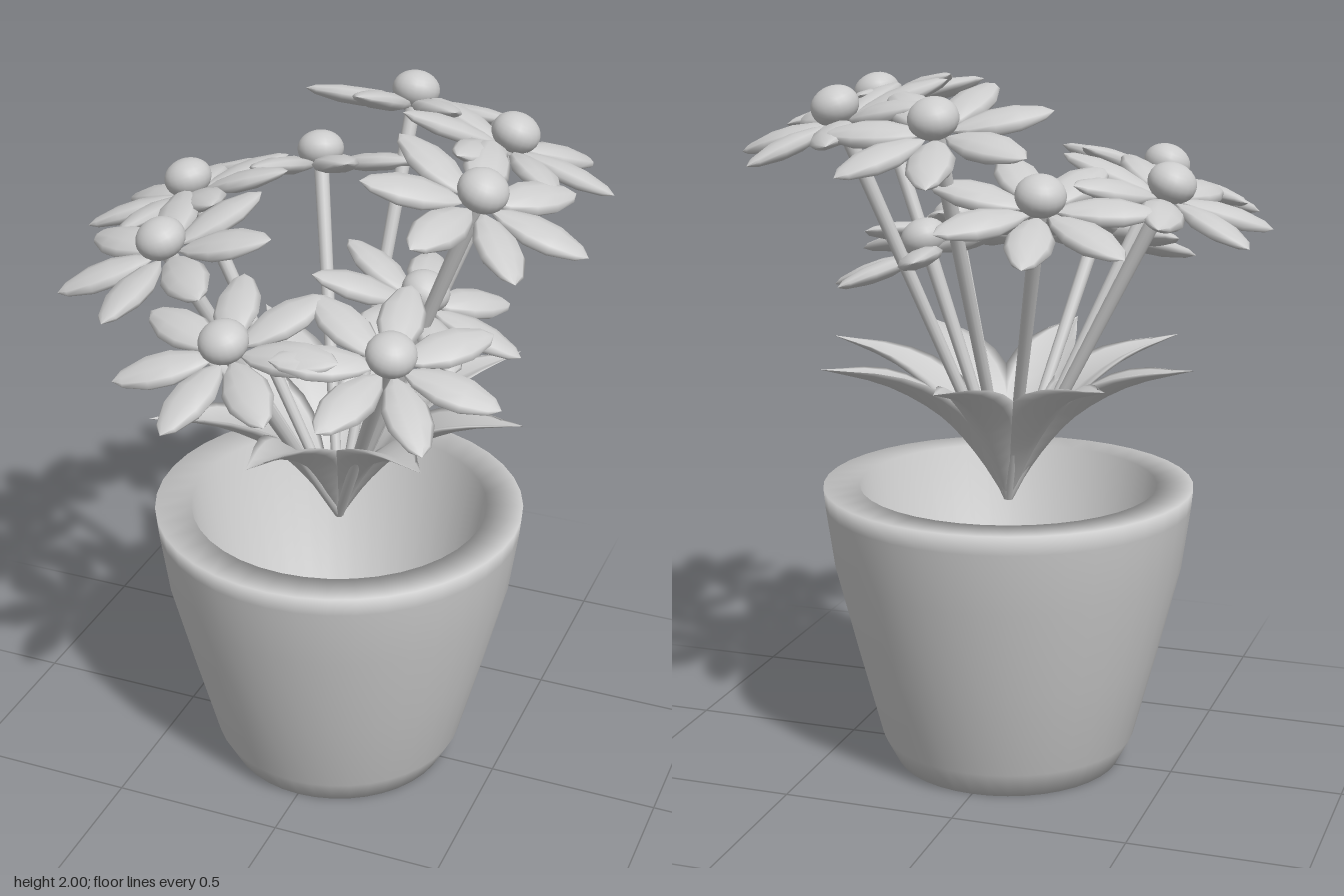
import * as THREE from 'three';

const grey = new THREE.MeshStandardMaterial({ color: 0xcccccc });
grey.name = 'pale grey';

const UP = new THREE.Vector3(0, 1, 0);
const rad = THREE.MathUtils.degToRad;
const v2 = (pts) => pts.map(([x, y]) => new THREE.Vector2(x, y));

function mesh(name, geometry) {
  const m = new THREE.Mesh(geometry, grey);
  m.name = name;
  return m;
}

// Hollow pot with a thick soft rim and a tapered foot
function makePot() {
  return mesh('pot', new THREE.LatheGeometry(v2([
    [0, 0], [0.33, 0], [0.372, 0.08], [0.44, 0.34], [0.505, 0.6],
    [0.53, 0.78], [0.535, 0.835], [0.43, 0.835], [0.3, 0.15], [0, 0.1],
  ]), 40));
}

// Petal: flattened spindle lying along +x
function petalGeometry() {
  const g = new THREE.LatheGeometry(v2([
    [0, 0.03], [0.038, 0.08], [0.063, 0.15], [0.061, 0.215],
    [0.032, 0.285], [0, 0.313],
  ]), 10);
  g.rotateZ(-Math.PI / 2);
  g.scale(1, 0.42, 1);
  return g;
}

// Leaf: closed, lightly folded blade that climbs steeply, then arches out along +x
function leafGeometry() {
  const rib = new THREE.CatmullRomCurve3([
    [0.01, 0.79], [0.1, 0.94], [0.2, 1.06], [0.36, 1.16], [0.565, 1.22],
  ].map(([x, y]) => new THREE.Vector3(x, y, 0)));
  const rows = 12, around = 8, pos = [], index = [];
  for (let i = 0; i <= rows; i++) {
    const t = i / rows;
    const p = rib.getPoint(t);
    const tan = rib.getTangent(t);
    const half = 0.01 * (1 - t) + 0.095 * Math.pow(Math.sin(Math.PI * Math.pow(t, 1.2)), 1.2);
    for (let j = 0; j < around; j++) {
      const a = (j / around) * Math.PI * 2;
      const lift = Math.abs(Math.cos(a)) * half * 0.45 + Math.sin(a) * half * 0.12;
      pos.push(p.x - tan.y * lift, p.y + tan.x * lift, Math.cos(a) * half);
      if (i < rows) {
        const k = i * around + j, n = i * around + (j + 1) % around;
        index.push(k, k + around, n, n, k + around, n + around);
      }
    }
  }
  const g = new THREE.BufferGeometry();
  g.setAttribute('position', new THREE.Float32BufferAttribute(pos, 3));
  g.setIndex(index);
  g.computeVertexNormals();
  return g;
}

// Flower centres [x, y, z] and the heading of the first petal in degrees
const FLOWERS = [
  [0.04, 1.93, -0.49, -104], [0.41, 1.93, -0.26, -53], [0.46, 1.93, 0.17, 0],
  [-0.49, 1.735, -0.08, 207], [-0.37, 1.735, 0.34, 152], [-0.23, 1.735, -0.43, 260],
  [-0.13, 1.54, 0.48, 102], [0.30, 1.54, 0.39, 53], [0.25, 1.54, -0.01, 0],
];
const LEAN = rad(20.5);
const LEAF_HEADINGS = [-42, 6, 46, 94, 135, 187, 225, 272];

export function createModel() {
  const model = new THREE.Group();
  model.name = 'pottedFlowers';
  model.add(makePot());

  // Ring of leaves
  const leafGeo = leafGeometry();
  for (const heading of LEAF_HEADINGS) {
    const leaf = mesh('leaf', leafGeo);
    leaf.rotation.y = -rad(heading);
    model.add(leaf);
  }

  const petalGeo = petalGeometry();
  const centreGeo = new THREE.SphereGeometry(0.068, 20, 14);
  centreGeo.scale(1, 0.8, 1);
  const root = new THREE.Vector3(0, 0.79, 0);
  for (const [x, y, z, heading] of FLOWERS) {
    // Flower head leaning outwards
    const flower = new THREE.Group();
    flower.name = 'flower';
    flower.position.set(x, y, z);
    const out = new THREE.Vector3(x, 0, z).normalize();
    const axis = UP.clone().multiplyScalar(Math.cos(LEAN)).addScaledVector(out, Math.sin(LEAN));
    flower.quaternion.setFromUnitVectors(UP, axis);
    flower.add(mesh('flowerCentre', centreGeo));
    for (let i = 0; i < 7; i++) {
      const petal = mesh('petal', petalGeo);
      petal.position.y = -0.045;
      petal.rotation.y = -rad(heading + (i * 360) / 7);
      flower.add(petal);
    }

    // Straight stem from the pot to the flower head
    const top = flower.position.clone().addScaledVector(axis, -0.03);
    const span = top.clone().sub(root);
    const stem = mesh('stem', new THREE.CylinderGeometry(0.022, 0.014, span.length(), 12));
    stem.position.copy(root).addScaledVector(span, 0.5);
    stem.quaternion.setFromUnitVectors(UP, span.normalize());
    model.add(flower, stem);
  }
  return model;
}
